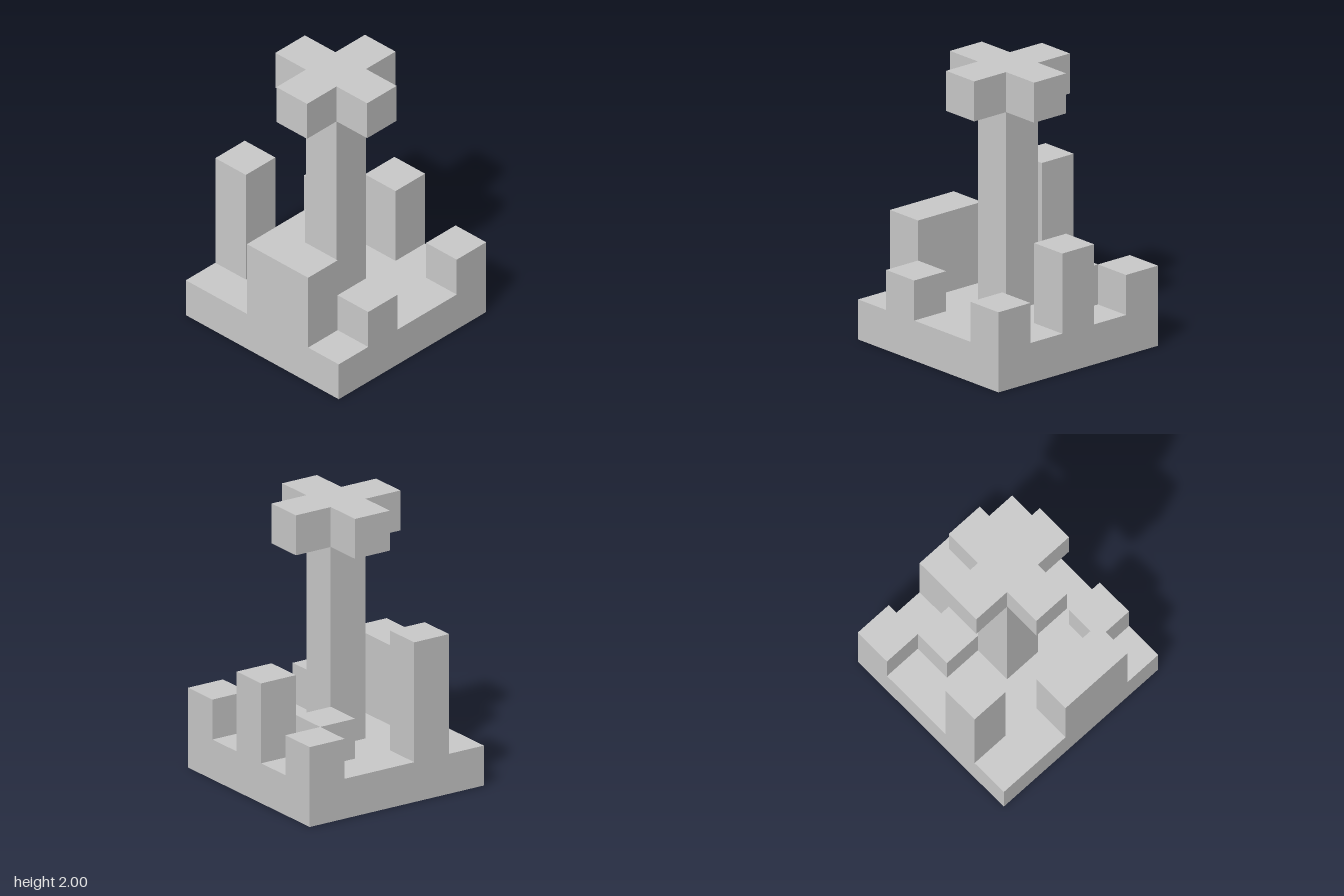
import * as THREE from 'three';

const U = 2 / 7; // one grid cell

export function createModel() {
  const group = new THREE.Group();
  const material = new THREE.MeshStandardMaterial({ color: 0xcccccc, flatShading: true });

  const add = (name, geometry, x, y, z) => {
    const mesh = new THREE.Mesh(geometry, material);
    mesh.name = name;
    mesh.position.set(x * U, y * U, z * U);
    group.add(mesh);
    return mesh;
  };

  // Box in cell units: centre x/z, bottom y, size w/h/d
  const block = (name, x, y, z, w, h, d) =>
    add(name, new THREE.BoxGeometry(w * U, h * U, d * U), x, y + h / 2, z);

  block('base', 0, 0, 0, 5, 1, 5);
  block('column', 0, 1, 0, 1, 5, 1);

  // Blocks standing on the base: name, x, z, width, height
  [
    ['frontWall', 0.5, 2, 2, 2],
    ['tallPost', -2, 1, 1, 3],
    ['backPost', 0, -2, 1, 2],
    ['sideBlock', 2, 1, 1, 1],
    ['innerBlock', -1, -1, 1, 1],
    ['backCornerBlockLeft', 2, -2, 1, 1],
    ['backCornerBlockRight', -2, -2, 1, 1],
  ].forEach(([name, x, z, w, h]) => block(name, x, 1, z, w, h, 1));

  // Plus-shaped cap on the column
  const a = U / 2, b = U * 1.5;
  const outline = [
    [a, b], [-a, b], [-a, a], [-b, a], [-b, -a], [-a, -a],
    [-a, -b], [a, -b], [a, -a], [b, -a], [b, a], [a, a],
  ].map(([x, y]) => new THREE.Vector2(x, y));
  const cross = new THREE.ExtrudeGeometry(new THREE.Shape(outline), { depth: U, bevelEnabled: false });
  cross.rotateX(-Math.PI / 2);
  add('crossCap', cross, 0, 6, 0);

  return group;
}
